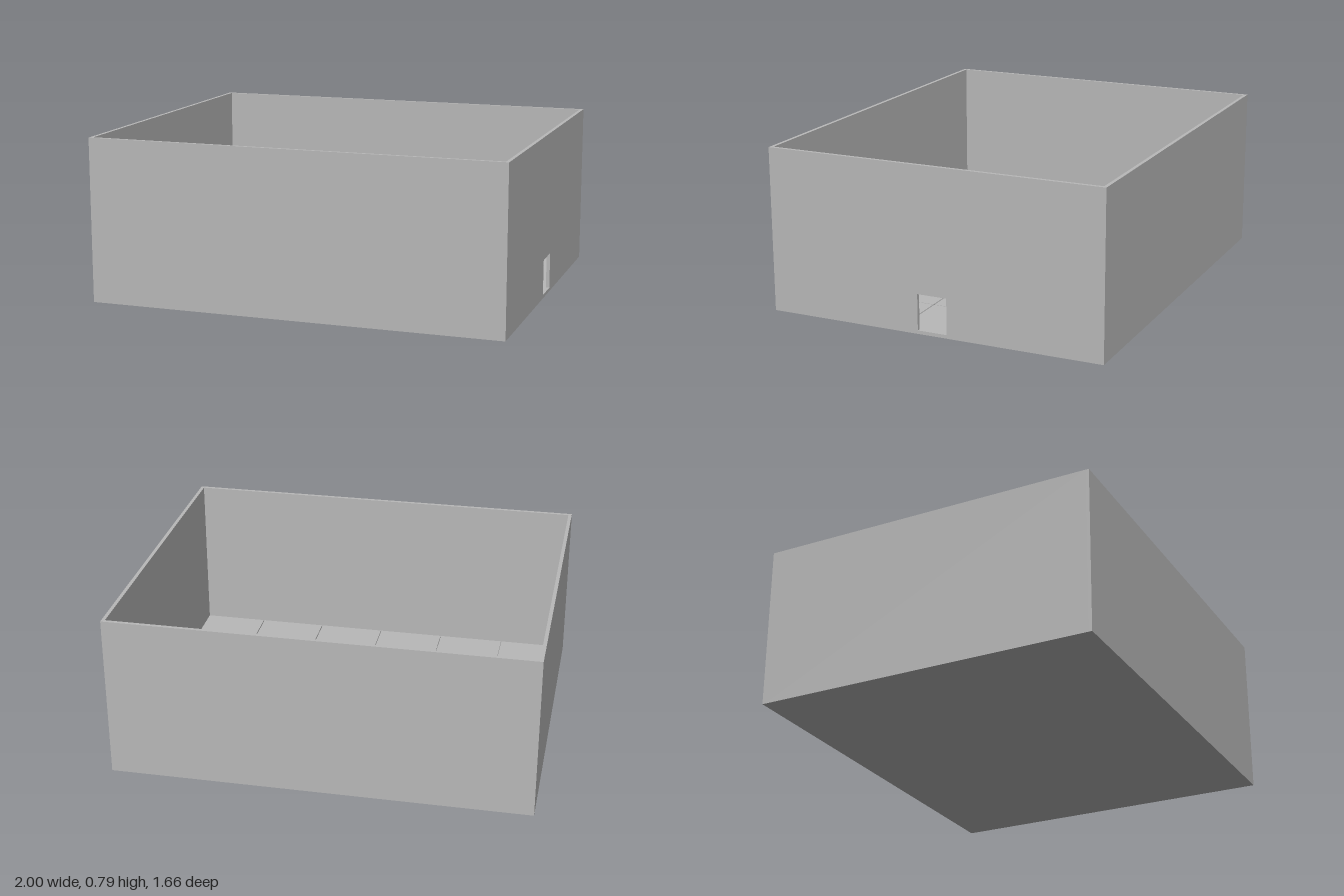
import * as THREE from 'three';

const W = 2, D = 1.66, H = 0.79;   // outer size of the room
const T = 0.017;                   // wall and floor thickness
const CELL = 1 / 3, GAP = 0.004;   // floor tile pitch and joint width

export function createModel() {
  const room = new THREE.Group();
  room.name = 'room';
  const concrete = new THREE.MeshStandardMaterial({ color: 0xb8b8b8 });
  concrete.name = 'concreteGrey';

  const add = (name, geometry, x, y, z, parent = room) => {
    const mesh = new THREE.Mesh(geometry, concrete);
    mesh.name = name;
    mesh.position.set(x, y, z);
    parent.add(mesh);
    return mesh;
  };

  // Long walls at front and back
  for (const [name, side] of [['frontWall', 1], ['backWall', -1]]) {
    add(name, new THREE.BoxGeometry(W, H, T), 0, H / 2, side * (D - T) / 2);
  }

  // Plain wall on the right (-x) side
  const inner = D - 2 * T;
  add('plainSideWall', new THREE.BoxGeometry(T, H, inner), -(W - T) / 2, H / 2, 0);

  // Side wall with a doorway
  const rect = (path, x0, y0, x1, y1) =>
    path.moveTo(x0, y0).lineTo(x1, y0).lineTo(x1, y1).lineTo(x0, y1).closePath();
  const outline = new THREE.Shape();
  rect(outline, -inner / 2, 0, inner / 2, H);
  const doorway = new THREE.Path();
  rect(doorway, -0.073, T, 0.073, 0.19);
  outline.holes.push(doorway);
  const doorWall = new THREE.ExtrudeGeometry(outline, { depth: T, bevelEnabled: false });
  doorWall.rotateY(Math.PI / 2);
  add('doorwayWall', doorWall, W / 2 - T, 0, 0);

  // Base slab below the tiles
  const base = T / 2;
  add('baseSlab', new THREE.BoxGeometry(W - 2 * T, base, inner), 0, base / 2, 0);

  // Floor tiles, 6 by 5, with narrow joints; outer tiles are cut at the walls
  const tiles = new THREE.Group();
  tiles.name = 'floorTiles';
  room.add(tiles);
  const span = (i, count, half) => {
    const lo = i === 0 ? -half : (i - count / 2) * CELL + GAP / 2;
    const hi = i === count - 1 ? half : (i + 1 - count / 2) * CELL - GAP / 2;
    return [(lo + hi) / 2, hi - lo];
  };
  for (let i = 0; i < 6; i++) {
    for (let j = 0; j < 5; j++) {
      const [x, w] = span(i, 6, W / 2 - T);
      const [z, d] = span(j, 5, D / 2 - T);
      add('floorTile', new THREE.BoxGeometry(w, T - base, d), x, (T + base) / 2, z, tiles);
    }
  }
  return room;
}
